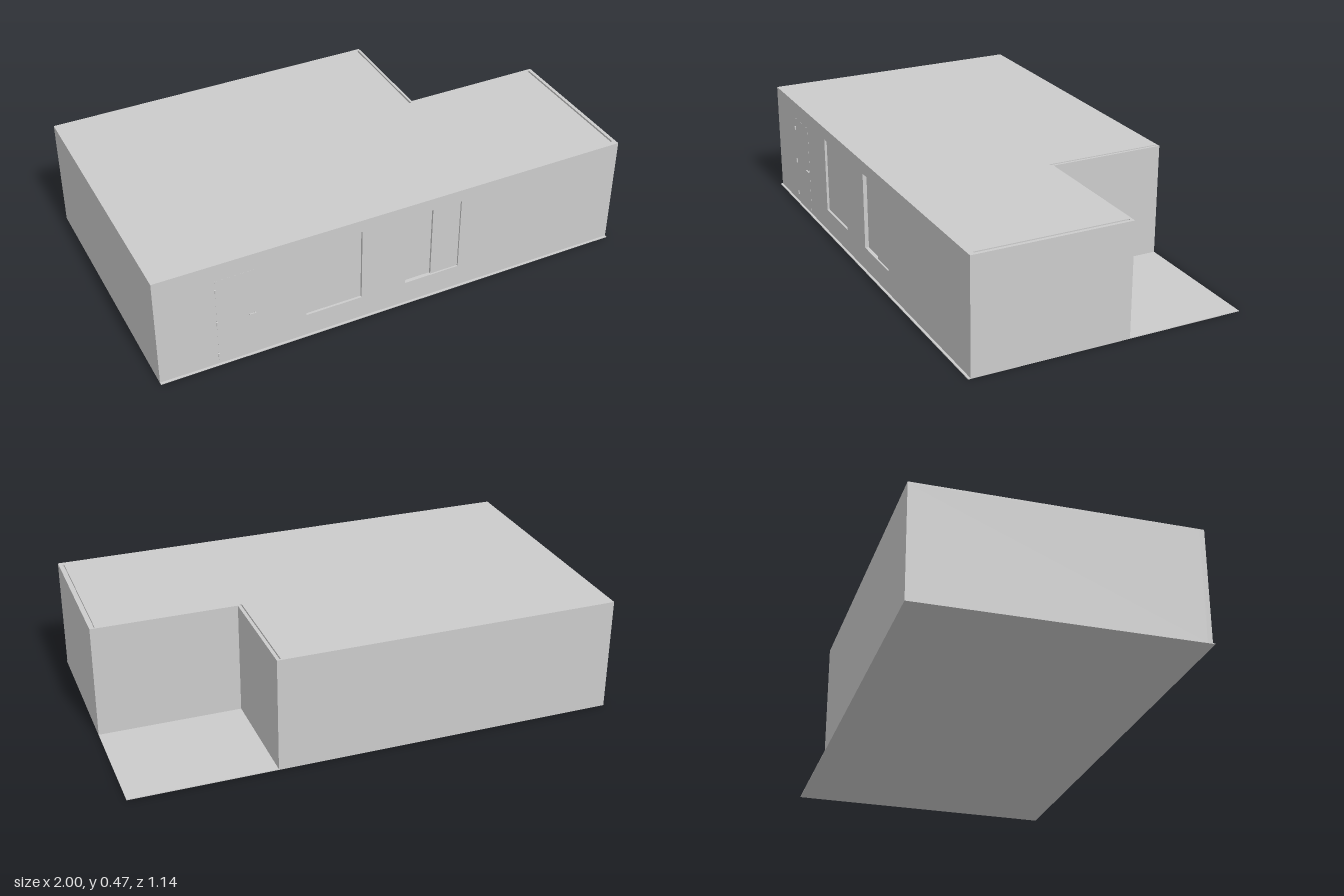
import * as THREE from 'three';

const material = new THREE.MeshStandardMaterial({ color: 0xcccccc, flatShading: true });
const HEIGHT = 0.473, ROOF = 0.008, FLOOR = 0.003;
const BACK = -0.572, FRONT = 0.562, SKIN = 0.02;
const NOTCH_X = 0.409, NOTCH_Z = -0.086;

// Closed outline from [x, y] corners
function outline(points, Type = THREE.Shape) {
  return new Type(points.map(([x, y]) => new THREE.Vector2(x, y)));
}

function rect(x0, x1, y0, y1) {
  return outline([[x0, y0], [x1, y0], [x1, y1], [x0, y1]], THREE.Path);
}

function addMesh(parent, name, geometry) {
  const mesh = new THREE.Mesh(geometry, material);
  mesh.name = name;
  parent.add(mesh);
  return mesh;
}

// Box given by its limits on each axis
function addBox(parent, name, [x0, x1], [y0, y1], [z0, z1]) {
  const mesh = addMesh(parent, name, new THREE.BoxGeometry(x1 - x0, y1 - y0, z1 - z0));
  mesh.position.set((x0 + x1) / 2, (y0 + y1) / 2, (z0 + z1) / 2);
  return mesh;
}

// L-shaped plan extruded upwards; plan y is -z
function addPlan(parent, name, bottom, height, front, holes = []) {
  const shape = outline([
    [-1, -front], [1, -front], [1, -NOTCH_Z],
    [NOTCH_X, -NOTCH_Z], [NOTCH_X, -BACK], [-1, -BACK],
  ]);
  shape.holes.push(...holes);
  const geometry = new THREE.ExtrudeGeometry(shape, { depth: height, bevelEnabled: false });
  geometry.rotateX(-Math.PI / 2);
  geometry.translate(0, bottom, 0);
  return addMesh(parent, name, geometry);
}

export function createModel() {
  const house = new THREE.Group();
  house.name = 'house';

  // Rectangular ground slab, also under the corner terrace
  addBox(house, 'floorSlab', [-1, 1], [0, FLOOR], [BACK, 0.572]);

  // Main volume and flat roof with narrow gaps along the two side walls
  addPlan(house, 'walls', FLOOR, HEIGHT - ROOF - FLOOR, FRONT - SKIN);
  addPlan(house, 'roof', HEIGHT - ROOF, ROOF, FRONT - SKIN, [
    rect(0.391, 0.399, 0.075, 0.562),
    rect(0.978, 0.986, -0.541, 0.075),
  ]);

  // Front wall skin with two window openings
  const facade = outline([[-1, FLOOR], [1, FLOOR], [1, HEIGHT], [-1, HEIGHT]]);
  facade.holes.push(rect(-0.397, -0.16, 0.1, 0.42), rect(0.033, 0.272, 0.1, 0.42));
  const skin = new THREE.ExtrudeGeometry(facade, { depth: SKIN, bevelEnabled: false });
  addMesh(house, 'frontWall', skin).position.z = FRONT - SKIN;

  // Fixed window, and a sliding window with one pane in front of the other
  addBox(house, 'fixedWindow', [-0.397, -0.16], [0.1, 0.42], [0.54, 0.552]);
  addBox(house, 'rearPane', [0.033, 0.152], [0.1, 0.42], [0.54, 0.546]);
  addBox(house, 'frontPane', [0.15, 0.272], [0.1, 0.42], [0.54, 0.555]);

  // Flush door with hinges and a lever handle
  const door = new THREE.Group();
  door.name = 'door';
  house.add(door);
  addBox(door, 'doorLeaf', [-0.762, -0.605], [FLOOR, 0.4], [0.545, FRONT + 0.0005]);
  for (const y of [0.046, 0.2, 0.354]) {
    const hinge = addMesh(door, 'hinge', new THREE.CylinderGeometry(0.004, 0.004, 0.016, 8));
    hinge.position.set(-0.762, y, FRONT + 0.002);
  }
  addBox(door, 'handle', [-0.632, -0.606], [0.196, 0.201], [FRONT + 0.004, FRONT + 0.009]);
  addBox(door, 'handleStem', [-0.612, -0.607], [0.196, 0.201], [FRONT, FRONT + 0.006]);

  return house;
}
